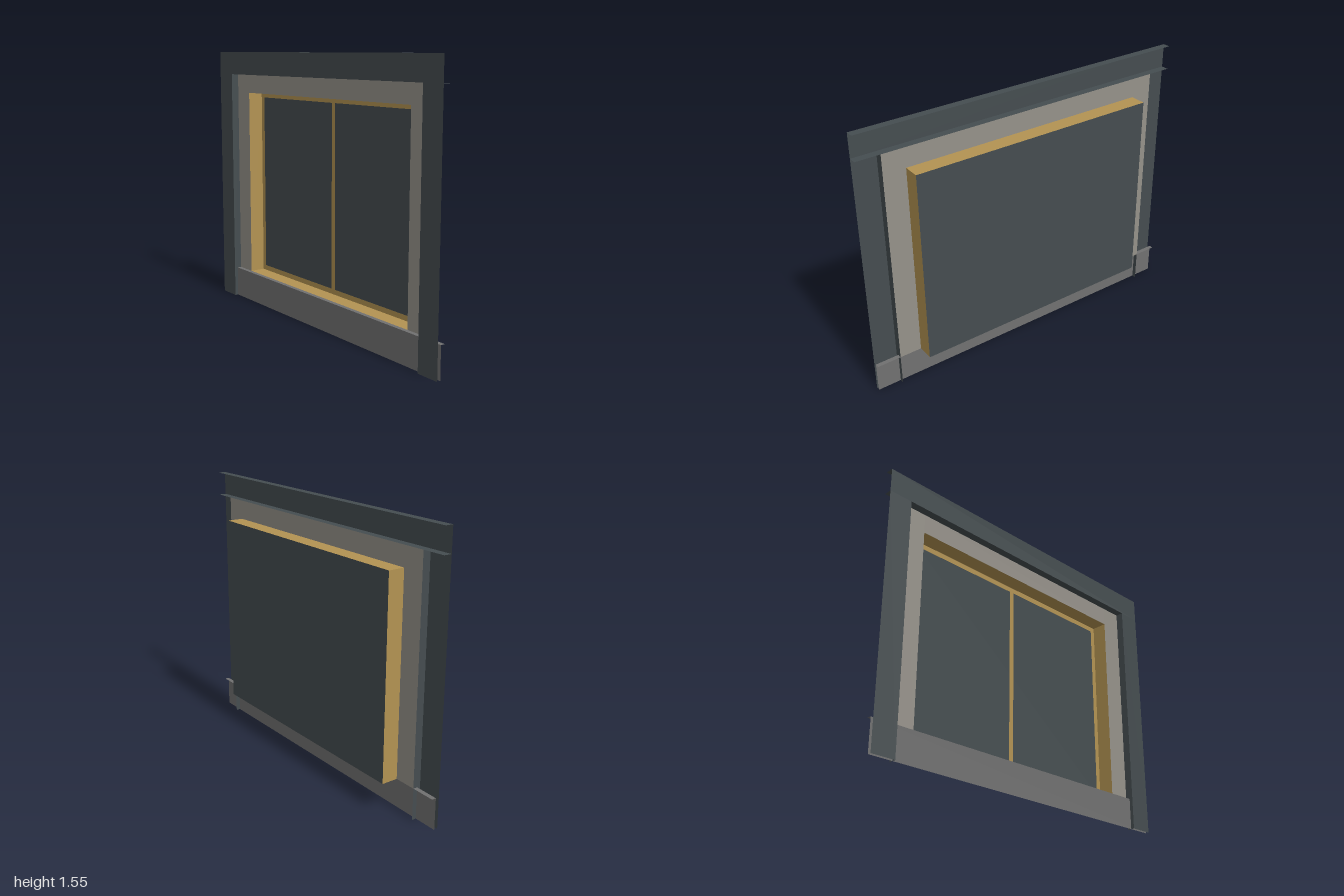
import * as THREE from 'three';

const mat = (name, color) => {
  const m = new THREE.MeshStandardMaterial({ color, side: THREE.DoubleSide });
  m.name = name;
  return m;
};

export function createModel() {
  const slate = mat('slate trim', 0x454d50);
  const gold = mat('gold frame', 0xb39352);
  const taupe = mat('taupe wall', 0x96928a);
  const grey = mat('grey base', 0x717171);

  const group = new THREE.Group();
  const FRONT = 0.07, BASE = 0.05, WALL = 0.025, FRAME = -0.066, BACK = -0.07;
  const OUT = 1, JAMB = 0.863, WIN = 0.735;
  const TOP = 1.55, HEAD = 1.414, WIN_TOP = 1.303, SILL = 0.18;
  const BAR = 0.03;

  const add = (name, geometry, material) => {
    const mesh = new THREE.Mesh(geometry, material);
    mesh.name = name;
    group.add(mesh);
  };
  const rect = (target, x0, y0, x1, y1) =>
    target.moveTo(x0, y0).lineTo(x1, y0).lineTo(x1, y1).lineTo(x0, y1).closePath();

  // Upright sheet facing +z, with optional rectangular openings
  const sheet = (name, [x0, y0, x1, y1], z, material, holes = []) => {
    const shape = rect(new THREE.Shape(), x0, y0, x1, y1);
    for (const h of holes) shape.holes.push(rect(new THREE.Path(), ...h));
    add(name, new THREE.ShapeGeometry(shape).translate(0, 0, z), material);
  };
  // Level strip facing up
  const shelf = (name, halfWidth, y, z0, z1, material) =>
    add(name, new THREE.PlaneGeometry(halfWidth * 2, z1 - z0)
      .rotateX(-Math.PI / 2).translate(0, y, (z0 + z1) / 2), material);
  // Upright strip facing sideways, inward to the middle
  const cheek = (name, x, y0, y1, z0, z1, material) =>
    add(name, new THREE.PlaneGeometry(z1 - z0, y1 - y0)
      .rotateY(-Math.sign(x) * Math.PI / 2).translate(x, (y0 + y1) / 2, (z0 + z1) / 2), material);

  // Outer surround: two pilasters and a lintel, open at the ends
  for (const s of [-1, 1]) {
    const xs = [s * JAMB, s * OUT].sort((a, b) => a - b);
    sheet('pilaster', [xs[0], 0, xs[1], HEAD], FRONT, slate);
    cheek('jamb', s * JAMB, 0, HEAD, WALL, FRONT, slate);
  }
  sheet('lintel', [-OUT, HEAD, OUT, TOP], FRONT, slate);
  shelf('lintelTop', OUT, TOP, WALL, FRONT, slate);
  shelf('lintelUnderside', OUT, HEAD, WALL, FRONT, slate);

  // Base panel with its narrow ledge
  sheet('basePanel', [-OUT, 0, OUT, SILL], BASE, grey);
  shelf('baseLedge', OUT, SILL, WALL, BASE, grey);

  // Wall around the window opening
  sheet('wallSides', [-JAMB, SILL, -WIN, HEAD], WALL, taupe);
  sheet('wallSides', [WIN, SILL, JAMB, HEAD], WALL, taupe);
  sheet('wallHead', [-WIN, WIN_TOP, WIN, HEAD], WALL, taupe);

  // Deep window reveal
  for (const s of [-1, 1]) cheek('windowReveal', s * WIN, SILL, WIN_TOP, BACK, WALL, gold);
  shelf('windowSill', WIN, SILL, BACK, WALL, gold);
  shelf('windowHead', WIN, WIN_TOP, BACK, WALL, gold);

  // Window frame with centre mullion, and the glass behind
  const y0 = SILL + BAR, y1 = WIN_TOP - BAR;
  sheet('windowFrame', [-WIN, SILL, WIN, WIN_TOP], FRAME, gold, [
    [-WIN + BAR, y0, -BAR / 2, y1],
    [BAR / 2, y0, WIN - BAR, y1],
  ]);
  sheet('glass', [-WIN, SILL, WIN, WIN_TOP], BACK, slate);

  return group;
}
